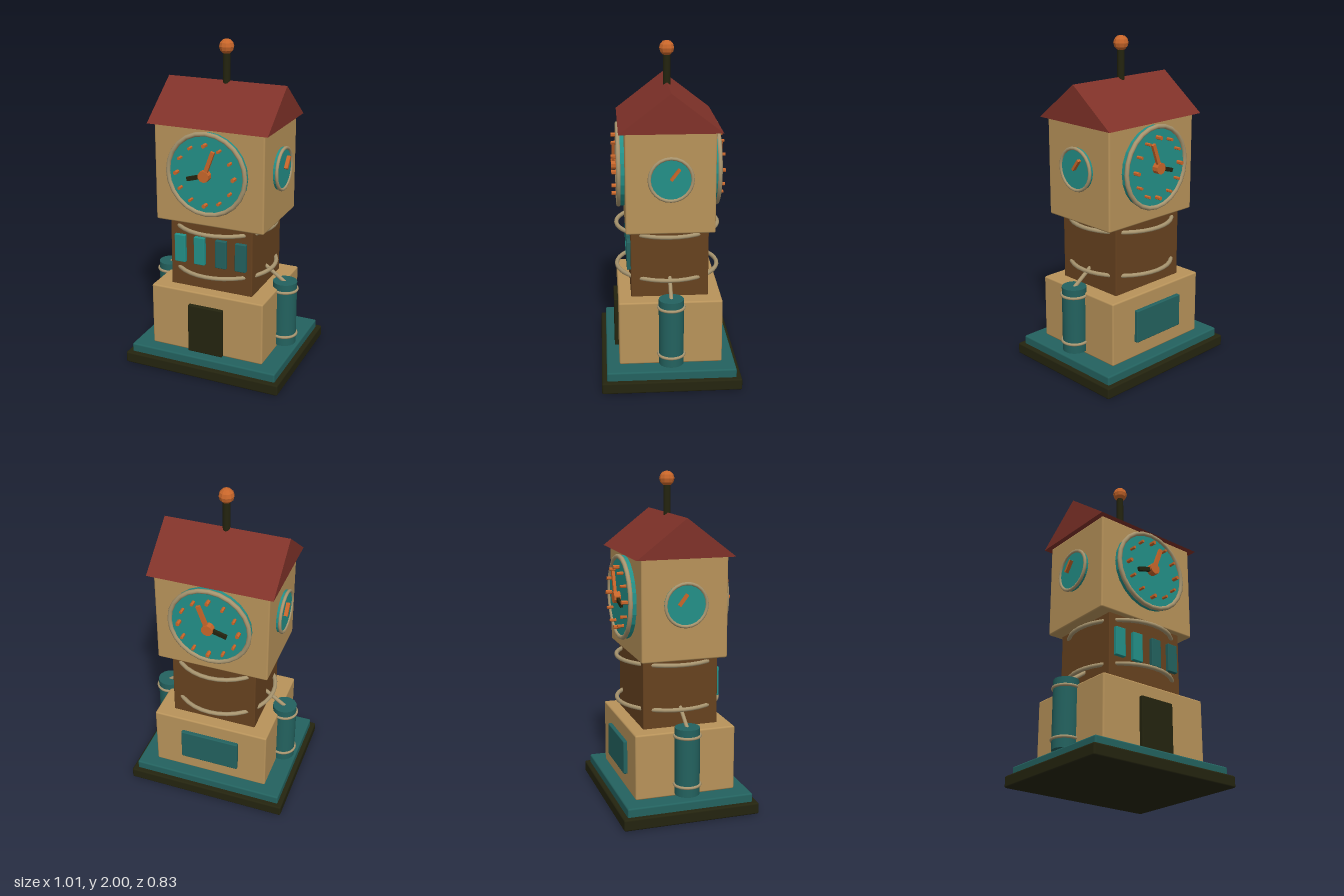
import * as THREE from 'three';
import { RoundedBoxGeometry } from 'three/addons/geometries/RoundedBoxGeometry.js';

const paint = (name, color) => {
  const m = new THREE.MeshStandardMaterial({ color });
  m.name = name;
  return m;
};

export function createModel() {
  const tan = paint('sandstone', 0xb8935a);
  const brown = paint('brown wood', 0x67421f);
  const dark = paint('dark iron', 0x24240f);
  const aqua = paint('bright teal', 0x239088);
  const teal = paint('dark teal', 0x23625f);
  const red = paint('roof red', 0x803229);
  const copper = paint('copper', 0xc8662a);
  const pale = paint('pale brass', 0xa8956f);

  const model = new THREE.Group();
  model.name = 'clockTower';

  const add = (name, geometry, material, x = 0, y = 0, z = 0, parent = model) => {
    const mesh = new THREE.Mesh(geometry, material);
    mesh.name = name;
    mesh.position.set(x, y, z);
    parent.add(mesh);
    return mesh;
  };
  // Box with softly bevelled edges, standing between two heights
  const block = (name, w, y0, y1, d, material, x = 0, z = 0, r = 0.01) =>
    add(name, new RoundedBoxGeometry(w, y1 - y0, d, 2, r), material, x, (y0 + y1) / 2, z);
  const flat = (geometry) => {
    const g = geometry.index ? geometry.toNonIndexed() : geometry;
    g.computeVertexNormals();
    return g;
  };
  // Cylinder whose axis points along z
  const peg = (r, depth, sides) => new THREE.CylinderGeometry(r, r, depth, sides).rotateX(Math.PI / 2);

  // Stacked body
  block('base', 1.01, 0, 0.07, 0.83, dark);
  block('plinth', 0.95, 0.06, 0.122, 0.77, teal);
  block('lowerBody', 0.73, 0.12, 0.517, 0.615, tan);
  block('middleBody', 0.53, 0.51, 0.94, 0.46, brown, 0, 0, 0.006);
  block('clockRoom', 0.69, 0.935, 1.535, 0.52, tan);

  // Door and rear panel
  block('door', 0.225, 0.125, 0.435, 0.04, dark, 0, 0.312, 0.006);
  block('rearPanel', 0.37, 0.22, 0.425, 0.04, teal, 0, -0.311, 0.006);

  // Windows: the first two are lit
  [-0.197, -0.07, 0.07, 0.197].forEach((x, i) =>
    block('window', 0.07, 0.675, 0.85, 0.04, i < 2 ? aqua : teal, x, 0.233, 0.004));

  // Pipe hoops passing through the middle body
  for (const y of [0.63, 0.9]) {
    add('pipeHoop', new THREE.TorusGeometry(0.309, 0.013, 8, 36).rotateX(Math.PI / 2), pale, 0, y, 0);
  }

  // Side tanks with bands and a slanted feed pipe
  for (const s of [-1, 1]) {
    const tank = new THREE.Group();
    tank.name = s > 0 ? 'leftTank' : 'rightTank';
    model.add(tank);
    add('tankBody', new THREE.CylinderGeometry(0.074, 0.074, 0.41, 20), teal, s * 0.39, 0.345, 0, tank);
    for (const y of [0.2, 0.5]) {
      add('tankBand', new THREE.TorusGeometry(0.076, 0.009, 8, 24).rotateX(Math.PI / 2), pale, s * 0.39, y, 0, tank);
    }
    const path = new THREE.LineCurve3(new THREE.Vector3(s * 0.39, 0.54, 0), new THREE.Vector3(s * 0.25, 0.64, 0));
    add('feedPipe', new THREE.TubeGeometry(path, 1, 0.012, 8), pale, 0, 0, 0, tank);
  }

  // Hand lying in the dial plane, from the centre to (dx, dy)
  const hand = (name, dx, dy, z, material, parent) => {
    const length = Math.hypot(dx, dy);
    const mesh = add(name, new THREE.BoxGeometry(0.024, length, 0.018), material, dx / 2, dy / 2, z, parent);
    mesh.rotation.z = Math.atan2(-dx, dy);
  };

  // Large dials on the front and back; the back hands lean to the same x side
  for (const s of [1, -1]) {
    const dial = new THREE.Group();
    dial.name = s > 0 ? 'frontDial' : 'backDial';
    dial.position.set(0, 1.265, s * 0.26);
    if (s < 0) dial.rotation.y = Math.PI;
    model.add(dial);
    add('dialFace', flat(peg(0.248, 0.05, 24)), aqua, 0, 0, 0.01, dial);
    add('dialRim', new THREE.TorusGeometry(0.242, 0.014, 8, 24), pale, 0, 0, 0.034, dial);
    for (let i = 0; i < 12; i++) {
      const a = (i * Math.PI) / 6;
      const r = i % 3 ? 0.0095 : 0.0125;
      add('hourMark', flat(peg(r, 0.05, 6)), copper, Math.sin(a) * 0.18, Math.cos(a) * 0.18, 0.048, dial);
    }
    hand('hourHand', s * -0.112, -0.032, 0.052, dark, dial);
    hand('minuteHand', s * 0.056, 0.15, 0.06, copper, dial);
    add('hub', flat(peg(0.035, 0.045, 10)), copper, 0, 0, 0.052, dial);
  }

  // Small dials on the sides
  for (const s of [1, -1]) {
    const dial = new THREE.Group();
    dial.name = s > 0 ? 'leftDial' : 'rightDial';
    dial.position.set(s * 0.345, 1.265, 0);
    dial.rotation.y = (s * Math.PI) / 2;
    model.add(dial);
    add('dialFace', flat(peg(0.127, 0.03, 24)), aqua, 0, 0, 0.008, dial);
    add('dialRim', new THREE.TorusGeometry(0.124, 0.01, 8, 24), pale, 0, 0, 0.022, dial);
    const pointer = add('pointer', new THREE.BoxGeometry(0.016, 0.08, 0.025), copper, s * 0.023, 0.033, 0.033, dial);
    pointer.rotation.z = -0.65;
  }

  // Gable roof with its ridge along x
  const gable = new THREE.Shape([
    new THREE.Vector2(-0.295, 1.53),
    new THREE.Vector2(0.295, 1.53),
    new THREE.Vector2(0, 1.757),
  ]);
  const roof = new THREE.ExtrudeGeometry(gable, { depth: 0.75, bevelEnabled: false });
  roof.translate(0, 0, -0.375).rotateY(Math.PI / 2);
  add('roof', roof, red);

  // Mast and finial ball
  add('mast', new THREE.CylinderGeometry(0.022, 0.022, 0.2, 10), dark, 0, 1.83, 0);
  add('finial', flat(new THREE.SphereGeometry(0.045, 10, 6)), copper, 0, 1.955, 0);

  return model;
}
